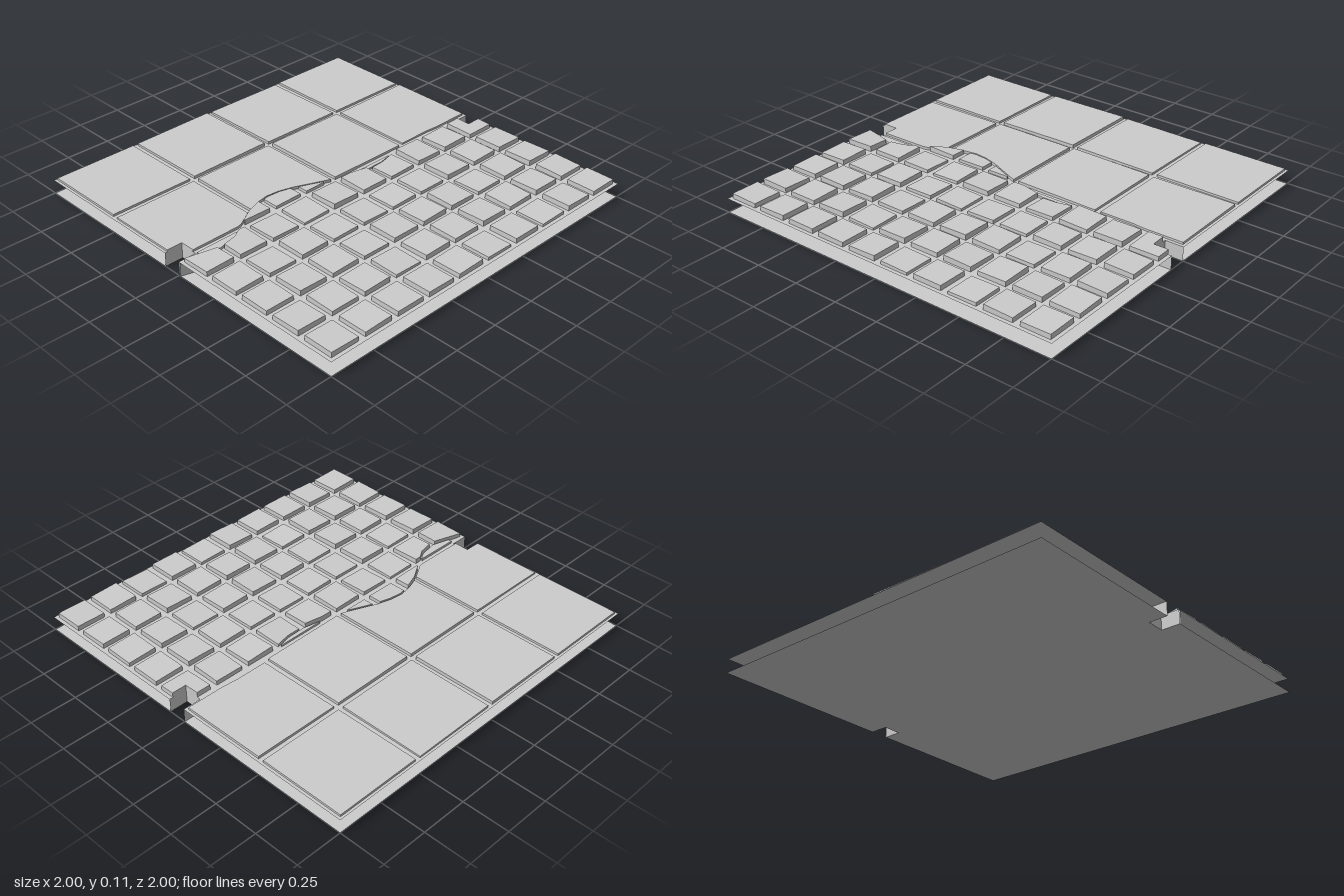
import * as THREE from 'three';

const stone = new THREE.MeshStandardMaterial({ color: 0xcccccc, side: THREE.DoubleSide });
stone.name = 'grey stone';

const FLOOR = 0.075;

// Winding seam between the paving (front) and the slabs (back), as [x, z]
const seam = [
  [-1, 0.01], [-0.8, 0.065], [-0.7, 0.045], [-0.6, -0.02], [-0.5, -0.08], [-0.42, -0.108],
  [-0.35, -0.12], [-0.28, -0.113], [-0.2, -0.09], [0, -0.005], [0.1, 0.02], [0.2, 0.04],
  [0.3, 0.038], [0.42, 0.01], [0.5, -0.02], [0.7, -0.02], [0.9, 0], [1, 0],
];

function seamAt(x) {
  let i = 0;
  while (i < seam.length - 2 && x > seam[i + 1][0]) i++;
  const [[xa, za], [xb, zb]] = [seam[i], seam[i + 1]];
  return za + (zb - za) * (x - xa) / (xb - xa);
}

function add(group, geometry, name) {
  const mesh = new THREE.Mesh(geometry, stone);
  mesh.name = name;
  group.add(mesh);
}

// A stone: a rectangle trimmed to one side of the seam, with a slightly tilted top
function addStone(group, name, x0, x1, z0, z1, top, front, tiltX, tiltZ) {
  const xs = [x0, x1, ...seam.map((p) => p[0]), 0.8999, 0.9001, -0.9001, -0.8999]
    .filter((x) => x >= x0 && x <= x1);
  for (let k = 1; k < 16; k++) xs.push(x0 + (x1 - x0) * k / 16);
  xs.sort((a, b) => a - b);
  const near = [], far = [];
  for (const x of xs) {
    let lo = z0, hi = z1;
    if (front) lo = Math.max(lo, x > 0.9 ? 0.1 : seamAt(x) + 0.004);
    else hi = Math.min(hi, x < -0.9 ? -0.1 : seamAt(x) - 0.004);
    if (hi - lo < 0.003) continue;
    far.push(new THREE.Vector2(x, -lo));
    near.push(new THREE.Vector2(x, -hi));
  }
  if (near.length < 2) return;
  const shape = new THREE.Shape([...near, ...far.reverse()]);
  const geo = new THREE.ExtrudeGeometry(shape, { depth: top - FLOOR, bevelEnabled: false });
  geo.rotateX(-Math.PI / 2);
  geo.translate(0, FLOOR, 0);
  const p = geo.attributes.position;
  for (let i = 0; i < p.count; i++) {
    if (p.getY(i) > FLOOR + 0.001) {
      p.setY(i, top + tiltX * (p.getX(i) - (x0 + x1) / 2) + tiltZ * (p.getZ(i) - (z0 + z1) / 2));
    }
  }
  geo.computeVertexNormals();
  add(group, geo, name);
}

// Upright wall following a path of [x, z] points
function wallGeometry(path, height) {
  const pos = [];
  for (let i = 0; i < path.length - 1; i++) {
    const [[xa, za], [xb, zb]] = [path[i], path[i + 1]];
    pos.push(xa, 0, za, xb, 0, zb, xb, height, zb, xa, 0, za, xb, height, zb, xa, height, za);
  }
  const geo = new THREE.BufferGeometry();
  geo.setAttribute('position', new THREE.Float32BufferAttribute(pos, 3));
  geo.computeVertexNormals();
  return geo;
}

export function createModel() {
  const model = new THREE.Group();
  model.name = 'floorTile';

  // Notched sheets: underside and floor, open along the outer edges
  const outline = [[-1, 1], [1, 1], [1, 0], [0.9, 0], [0.9, -0.1], [1, -0.1],
    [1, -1], [-1, -1], [-1, 0], [-0.9, 0], [-0.9, 0.1], [-1, 0.1]];
  const sheet = new THREE.Shape(outline.map(([x, y]) => new THREE.Vector2(x, y)));
  const under = new THREE.ShapeGeometry(sheet).rotateX(-Math.PI / 2);
  add(model, under, 'baseSheet');
  add(model, under.clone().translate(0, FLOOR, 0), 'floorSheet');

  // Inner walls
  add(model, wallGeometry(seam, FLOOR), 'seamWall');
  add(model, wallGeometry([[1, 0], [0.9, 0], [0.9, 0.1], [1, 0.1]], FLOOR), 'rightNotchWall');
  add(model, wallGeometry([[-1, 0], [-0.9, 0], [-0.9, -0.1], [-1, -0.1]], FLOOR), 'leftNotchWall');

  // Small paving stones: 1 marks a raised one, 0 a lower one
  const paving = new THREE.Group();
  paving.name = 'pavingStones';
  model.add(paving);
  const raised = ['0010000000', '1100110111', '1010000111', '1110111011', '1110111111', '1111101011'];
  raised.forEach((row, r) => {
    for (let c = 0; c < 10; c++) {
      const x = -0.98 + 0.2 * c, z = -0.18 + 0.2 * r;
      const top = row[c] === '1' ? 0.101 : 0.092;
      addStone(paving, 'pavingStone', x, x + 0.16, z, z + 0.16, top, true,
        0.03 * Math.sin(c * 2.3 + r), 0.03 * Math.sin(r * 1.9 + c * 3.1));
    }
  });

  // Large slabs
  const slabs = new THREE.Group();
  slabs.name = 'largeSlabs';
  model.add(slabs);
  const raisedSlabs = ['0100', '0110', '0000'];
  raisedSlabs.forEach((row, r) => {
    for (let c = 0; c < 4; c++) {
      const x = -0.985 + 0.5 * c, z = -0.987 + 0.5 * r;
      const top = row[c] === '1' ? 0.091 : 0.087;
      addStone(slabs, 'largeSlab', x, x + 0.47, z, z + 0.47, top, false,
        0.01 * Math.sin(c * 2 + r), 0.008 * Math.sin(r * 2.5 + c));
    }
  });
  return model;
}
